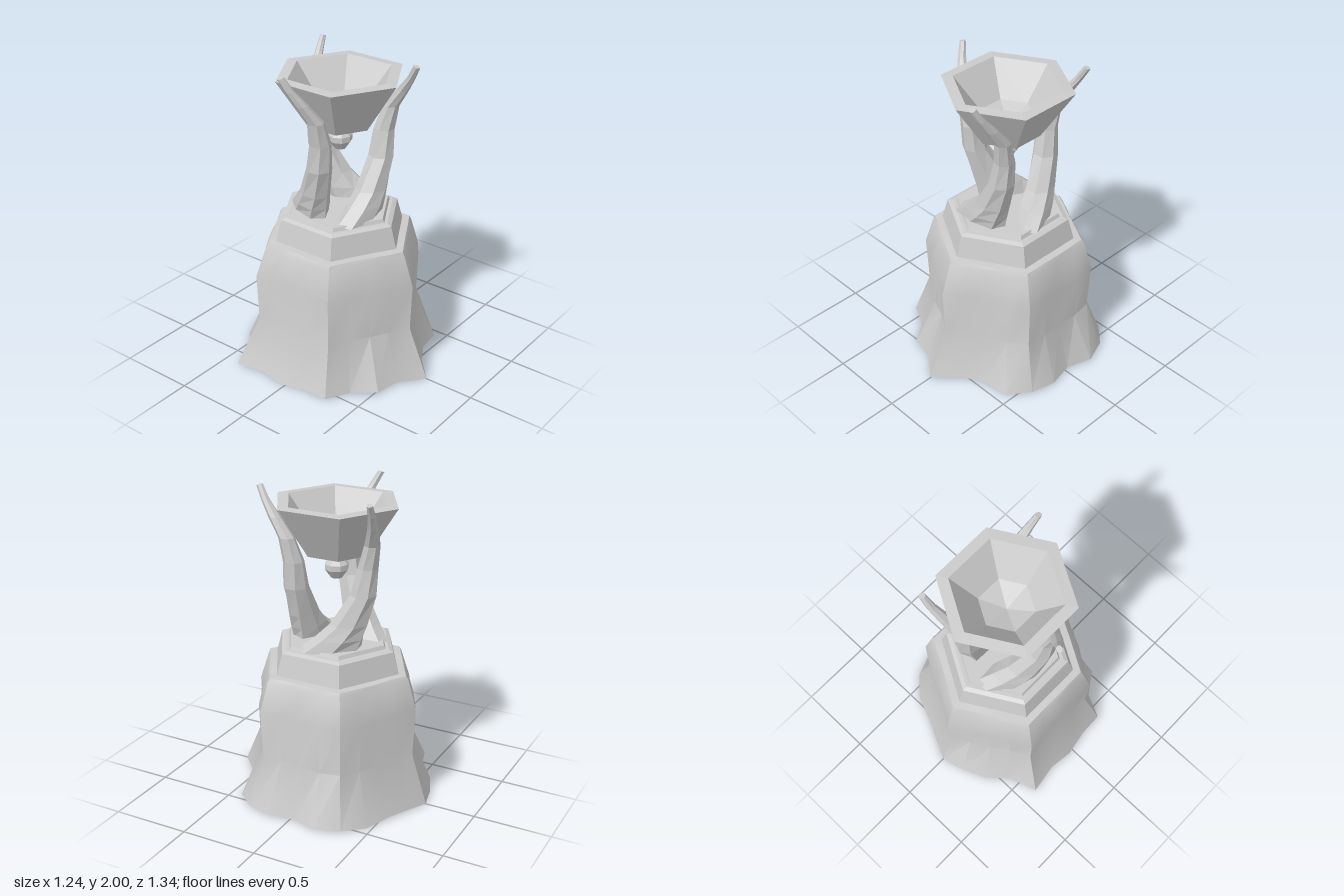
import * as THREE from 'three';
import { toCreasedNormals } from 'three/addons/utils/BufferGeometryUtils.js';

const CZ = -0.025; // depth of the common axis
const flat = new THREE.MeshStandardMaterial({ color: 0xcccccc, flatShading: true });
const cloth = new THREE.MeshStandardMaterial({ color: 0xcccccc, side: THREE.DoubleSide });

function mesh(name, geometry, material = flat) {
  const m = new THREE.Mesh(geometry, material);
  m.name = name;
  return m;
}

// Skin closed rings of equal length, listed from bottom to top
function loft(rings, capTop = false) {
  const n = rings[0].length, pos = rings.flat(2), idx = [];
  for (let j = 0; j < rings.length - 1; j++)
    for (let i = 0; i < n; i++) {
      const a = j * n + i, b = j * n + (i + 1) % n;
      idx.push(a, b, b + n, a, b + n, a + n);
    }
  if (capTop) {
    const s = (rings.length - 1) * n;
    for (let i = 1; i < n - 1; i++) idx.push(s, s + i, s + i + 1);
  }
  const g = new THREE.BufferGeometry();
  g.setAttribute('position', new THREE.Float32BufferAttribute(pos, 3));
  g.setIndex(idx);
  g.computeVertexNormals();
  return g;
}

// Point on a hexagon (corners front and back), four steps per side
function hexPoint(r, i) {
  const k = Math.floor(i / 4), t = (i % 4) / 4, A = Math.PI / 3;
  const lerp = (f) => r * (f(k * A) * (1 - t) + f((k + 1) * A) * t);
  return [lerp(Math.sin), lerp(Math.cos)];
}

// Wavy hem of the draped base, from the front round by the +x side
const hem = [
  [0, 0.67], [0.15, 0.53], [0.28, 0.455], [0.45, 0.43],
  [0.56, 0.3], [0.6, 0.14], [0.56, -0.03], [0.62, -0.19],
  [0.56, -0.35], [0.44, -0.47], [0.27, -0.54], [0.15, -0.6],
  [0, -0.67], [-0.15, -0.635], [-0.31, -0.565], [-0.43, -0.45],
  [-0.62, -0.39], [-0.59, -0.19], [-0.61, -0.03], [-0.58, 0.14],
  [-0.575, 0.3], [-0.42, 0.375], [-0.32, 0.52], [-0.16, 0.55],
];

function drapedBase() {
  // height, hexagon radius, share of the hem's folds, ripple in height
  const rows = [
    [0.33, 0.54, 0.26, 0.006], [0.64, 0.555, 0.2, 0.008],
    [0.83, 0.5, 0.06, 0.014], [0.858, 0.485, 0.02, 0.004], [0.862, 0.42, 0, 0],
  ];
  const rings = [hem.map(([x, z], i) => [x, 0.006 + 0.006 * Math.sin(i * 2.1 - 1.6), z])];
  for (const [y, r, fold, ripple] of rows)
    rings.push(hem.map(([hx, hz], i) => {
      const [x, z] = hexPoint(r, i), [bx, bz] = hexPoint(0.64, i);
      return [x + fold * (hx - bx), y + ripple * Math.sin(i * 1.9 - 1.3), z + CZ + fold * (hz - CZ - bz)];
    }));
  return mesh('drapedBase', toCreasedNormals(loft(rings), 0.45), cloth);
}

// Six-sided step
function tier(name, rTop, rBottom, y0, y1) {
  const m = mesh(name, new THREE.CylinderGeometry(rTop, rBottom, y1 - y0, 6));
  m.position.set(0, (y0 + y1) / 2, CZ);
  return m;
}

function turned(name, profile, sides) {
  const m = mesh(name, new THREE.LatheGeometry(profile.map(([r, y]) => new THREE.Vector2(r, y)), sides));
  m.position.z = CZ;
  return m;
}

// Curling arm: x, y, z of section centre (z from the axis), then half width and half depth
function armGeometry() {
  const sections = [
    [-0.05, 1.02, 0.185, 0.2, 0.1], [0.01, 1.1, 0.19, 0.155, 0.1],
    [0.07, 1.19, 0.195, 0.12, 0.09], [0.155, 1.38, 0.2, 0.082, 0.08],
    [0.18, 1.55, 0.2, 0.064, 0.068], [0.2, 1.7, 0.235, 0.05, 0.052],
    [0.197, 1.82, 0.32, 0.036, 0.04], [0.185, 1.91, 0.385, 0.026, 0.028],
    [0.168, 1.995, 0.435, 0.019, 0.021],
  ];
  const rings = sections.map(([x, y, z, w, d], j) =>
    Array.from({ length: 7 }, (_, i) => {
      const a = i / 7 * Math.PI * 2 + j * 0.08;
      // the top end slopes inward a little
      const tilt = j === sections.length - 1 ? -0.3 * d * Math.cos(a) : 0;
      return [x + w * Math.sin(a), y + tilt, z + d * Math.cos(a)];
    }));
  return loft(rings, true);
}

export function createModel() {
  const model = new THREE.Group();
  model.name = 'ritualBowl';

  model.add(
    drapedBase(),
    tier('lowerStep', 0.395, 0.44, 0.84, 1.0),
    tier('stepLip', 0.365, 0.395, 1.0, 1.012),
    tier('upperStep', 0.33, 0.345, 1.005, 1.035),
  );

  // Three arms around the axis
  const arms = new THREE.Group();
  arms.name = 'arms';
  arms.position.z = CZ;
  const geometry = armGeometry();
  ['frontArm', 'rightArm', 'backArm'].forEach((name, i) => {
    const arm = mesh(name, geometry);
    arm.rotation.y = -i * Math.PI * 2 / 3;
    arms.add(arm);
  });
  model.add(arms);

  // Hexagonal bowl with a faceted knob below
  model.add(
    turned('bowl', [[0, 1.565], [0.1, 1.568], [0.205, 1.59], [0.41, 1.91],
      [0.335, 1.915], [0.17, 1.71], [0, 1.65]], 6),
    turned('knob', [[0, 1.415], [0.035, 1.425], [0.075, 1.48], [0.075, 1.515],
      [0.045, 1.55], [0.045, 1.58]], 8),
  );
  return model;
}
